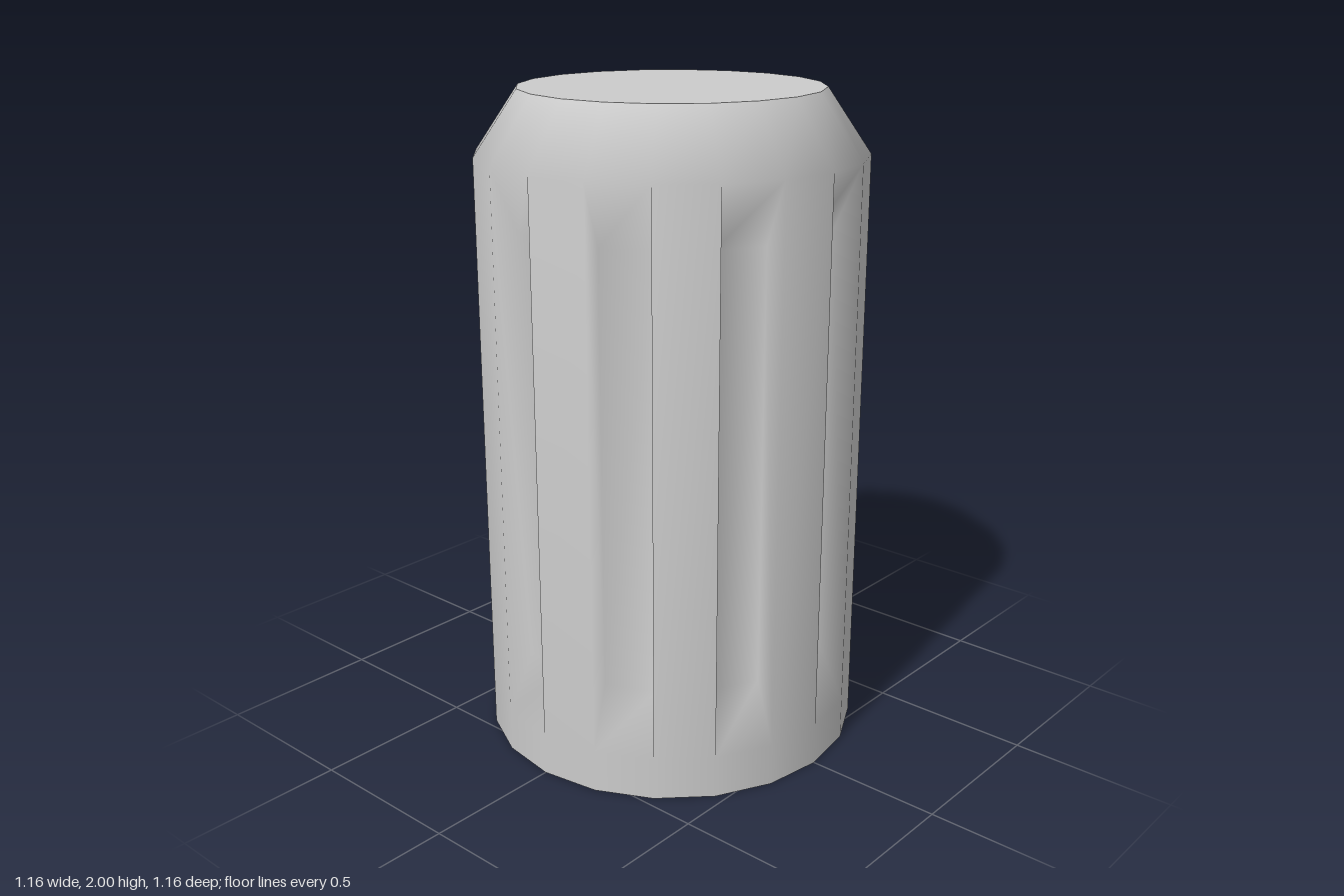
import * as THREE from 'three';

const SIDES = 20, RADIUS = 0.58, TOP_RADIUS = 0.45, GROOVE_RADIUS = 0.5;
const STEP = (Math.PI * 2) / SIDES;

// Chamfered 20-sided barrel; every second facet carries a recessed grip groove
function flutedBody() {
  // height, radius, upward tilt of the normal
  const rings = [[0, RADIUS, 0], [0.13, RADIUS, 0], [1.81, RADIUS, 0.1], [2, TOP_RADIUS, 0.57]];
  const positions = [], index = [];
  const vertex = (k, r, y) =>
    positions.push(r * Math.sin(k * STEP), y, r * Math.cos(k * STEP)) / 3 - 1;
  const quad = (a, b, c, d) => index.push(a, b, c, a, c, d);

  const grid = rings.map(([y, r]) => Array.from({ length: SIDES }, (_, i) => vertex(i, r, y)));

  // Groove with radial side walls and sloping ends
  const groove = (i, outer) => {
    const inner = [[i, 0.31], [i + 1, 0.31], [i + 1, 1.62], [i, 1.62]]
      .map(([k, y]) => vertex(k, GROOVE_RADIUS, y));
    quad(...inner);
    for (let e = 0; e < 4; e++) {
      const n = (e + 1) % 4;
      quad(outer[e], outer[n], inner[n], inner[e]);
    }
  };

  for (let r = 0; r < rings.length - 1; r++) {
    for (let i = 0; i < SIDES; i++) {
      const j = (i + 1) % SIDES;
      const corners = [grid[r][i], grid[r][j], grid[r + 1][j], grid[r + 1][i]];
      if (r === 1 && i % 2 === 1) groove(i, corners);
      else quad(...corners);
    }
  }

  const geometry = new THREE.BufferGeometry();
  geometry.setAttribute('position', new THREE.Float32BufferAttribute(positions, 3));
  geometry.setIndex(index);
  geometry.computeVertexNormals();

  // The barrel shades as a smooth round surface, undisturbed by the grooves
  rings.forEach(([, , tilt], r) => grid[r].forEach((v, i) => {
    const flat = Math.sqrt(1 - tilt * tilt);
    geometry.attributes.normal.setXYZ(v, flat * Math.sin(i * STEP), tilt, flat * Math.cos(i * STEP));
  }));
  return geometry;
}

export function createModel() {
  const group = new THREE.Group();
  group.name = 'flutedKnob';
  const material = new THREE.MeshStandardMaterial({ color: 0xcccccc });

  const add = (name, geometry) => {
    const mesh = new THREE.Mesh(geometry, material);
    mesh.name = name;
    group.add(mesh);
  };

  add('flutedBody', flutedBody());
  // Flat end faces
  add('topFace', new THREE.CircleGeometry(TOP_RADIUS, SIDES).rotateX(-Math.PI / 2).translate(0, 2, 0));
  add('bottomFace', new THREE.CircleGeometry(RADIUS, SIDES).rotateX(Math.PI / 2));
  return group;
}
